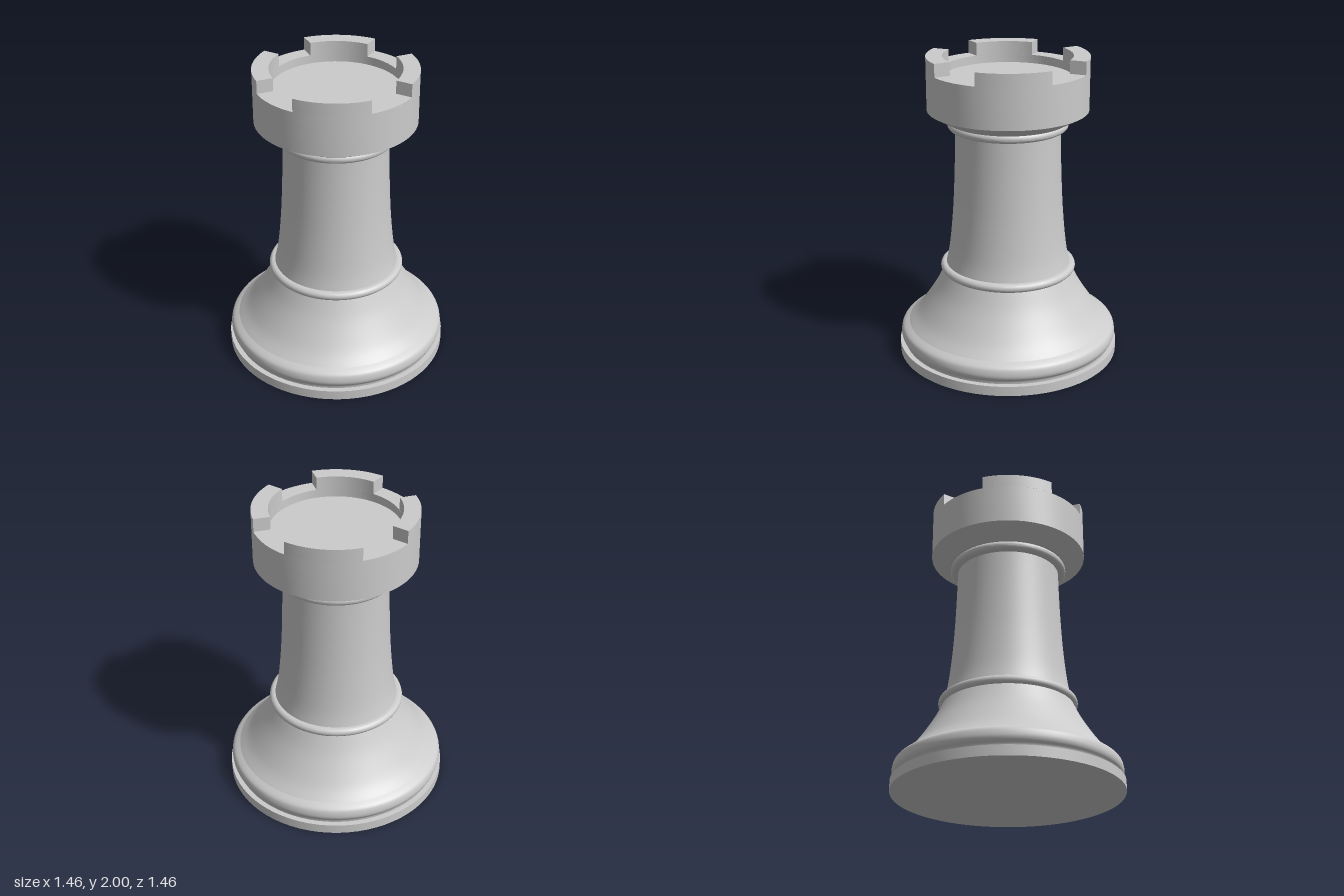
import * as THREE from 'three';
import { toCreasedNormals } from 'three/addons/utils/BufferGeometryUtils.js';

const SEGMENTS = 72;
const material = new THREE.MeshStandardMaterial({ color: 0xcccccc });

const vec = (points) => points.map(([r, y]) => new THREE.Vector2(r, y));
const smooth = (points, n) => new THREE.SplineCurve(vec(points)).getPoints(n);

function addMesh(group, name, geometry) {
  const mesh = new THREE.Mesh(geometry, material);
  mesh.name = name;
  group.add(mesh);
  return mesh;
}

// Turned part: profile runs upwards on the outside
function turned(group, name, profile, sharp = false) {
  const geometry = new THREE.LatheGeometry(profile, SEGMENTS);
  return addMesh(group, name, sharp ? toCreasedNormals(geometry, 0.4) : geometry);
}

// Half-round bead between two heights
function bead(core, y0, y1) {
  const h = (y1 - y0) / 2;
  const points = [[core - 0.12, y0]];
  for (let i = 0; i <= 10; i++) {
    const a = -Math.PI / 2 + (Math.PI * i) / 10;
    points.push([core + h * Math.cos(a), y0 + h + h * Math.sin(a)]);
  }
  points.push([core - 0.12, y1]);
  return vec(points);
}

export function createModel() {
  const model = new THREE.Group();
  model.name = 'chessRook';

  // Foot and flared base
  turned(model, 'plinth', vec([[0, 0], [0.73, 0], [0.73, 0.065], [0, 0.065]]), true);
  turned(model, 'baseMoulding', smooth([
    [0.695, 0.06], [0.699, 0.085], [0.714, 0.105], [0.72, 0.13],
    [0.714, 0.165], [0.698, 0.185], [0.665, 0.205],
  ], 24));
  turned(model, 'baseFlare', smooth([
    [0.665, 0.205], [0.605, 0.265], [0.54, 0.355], [0.475, 0.46], [0.42, 0.575],
  ], 20));
  turned(model, 'lowerRing', bead(0.417, 0.565, 0.622), true);

  // Tapering shaft and upper ring
  turned(model, 'shaft', smooth([
    [0.41, 0.61], [0.39, 0.7], [0.374, 0.82], [0.358, 1.0], [0.347, 1.2], [0.34, 1.4], [0.337, 1.55],
  ], 24));
  turned(model, 'upperRing', bead(0.358, 1.53, 1.588), true);

  // Head with sunken floor
  const outer = 0.515, inner = 0.41, notchY = 1.915, topY = 2;
  turned(model, 'head', vec([
    [0.3, 1.585], [0.39, 1.585], [outer, 1.655], [outer, notchY],
    [inner, notchY], [inner, 1.86], [0, 1.86],
  ]), true);

  // Four battlements, centred on the axes
  const half = THREE.MathUtils.degToRad(26.4);
  const shape = new THREE.Shape();
  shape.absarc(0, 0, outer, -half, half, false);
  shape.absarc(0, 0, inner, half, -half, true);
  shape.closePath();
  const block = toCreasedNormals(new THREE.ExtrudeGeometry(shape, {
    depth: topY - notchY, bevelEnabled: false, curveSegments: 12,
  }).rotateX(-Math.PI / 2), 0.4);
  for (let i = 0; i < 4; i++) {
    const battlement = addMesh(model, `battlement${i + 1}`, block);
    battlement.position.y = notchY;
    battlement.rotation.y = (i * Math.PI) / 2;
  }
  return model;
}
